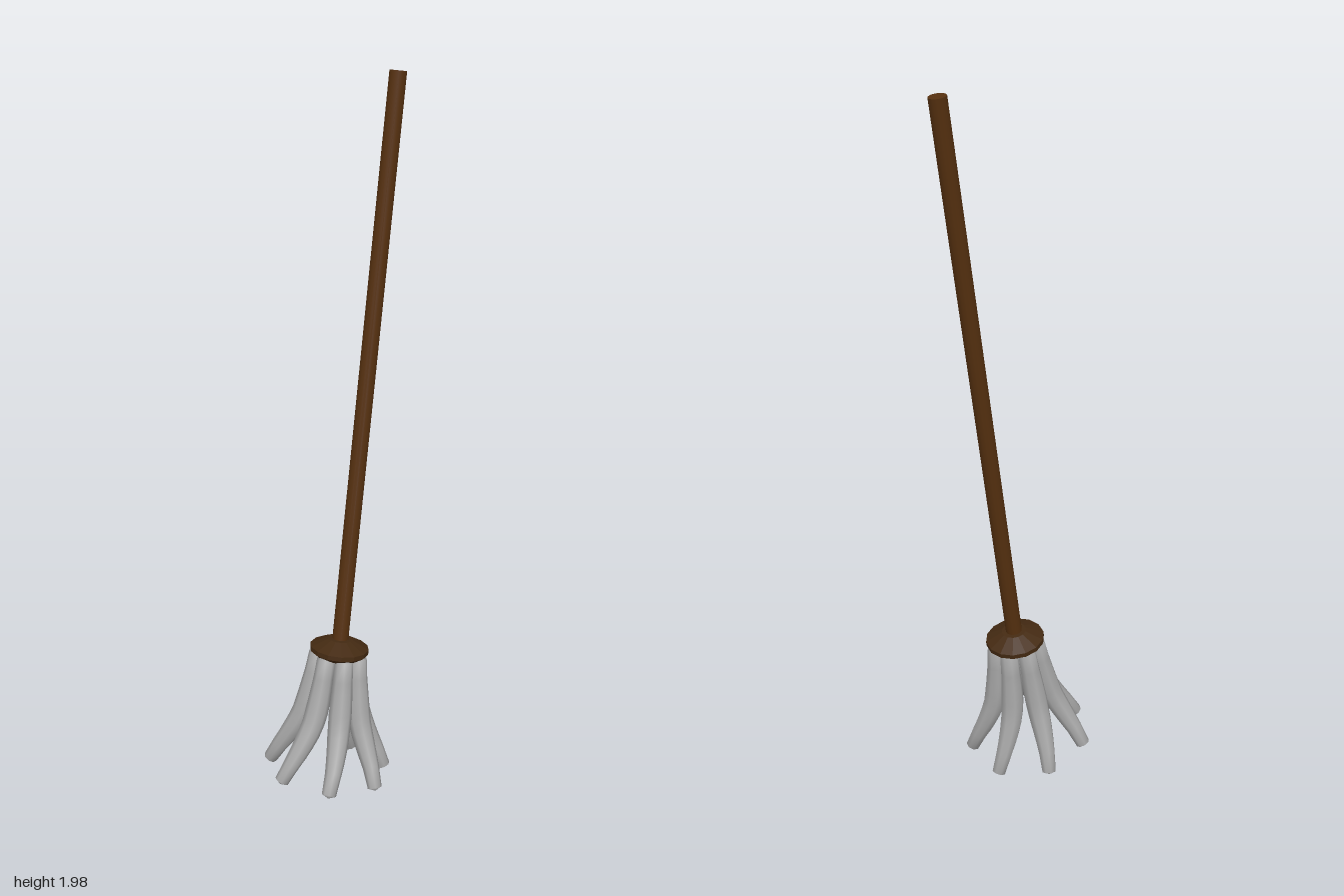
import * as THREE from 'three';
import { mergeVertices } from 'three/addons/utils/BufferGeometryUtils.js';

const handleWood = new THREE.MeshStandardMaterial({ name: 'handle brown', color: 0x55300f });
const capWood = new THREE.MeshStandardMaterial({ name: 'cap dark brown', color: 0x442a12 });
const yarn = new THREE.MeshStandardMaterial({ name: 'yarn grey', color: 0xa8a8a8 });
capWood.flatShading = true;

// One thick yarn strand: [outward, height, radius, swirl in degrees] from root to tip
const STRAND = [
  [0.058, -0.005, 0.024, -11],
  [0.068, -0.1, 0.029, -11],
  [0.086, -0.2, 0.033, -9],
  [0.117, -0.27, 0.031, -5],
  [0.150, -0.33, 0.025, -1],
  [0.174, -0.38, 0.017, 2],
];

function strandGeometry() {
  const points = STRAND.map(([out, y, , swirl]) => {
    const a = THREE.MathUtils.degToRad(swirl);
    return new THREE.Vector3(out * Math.cos(a), y, out * Math.sin(a));
  });
  const curve = new THREE.CatmullRomCurve3(points);
  const rings = 12, sides = 8;
  const geo = new THREE.TubeGeometry(curve, rings, 1, sides);
  const pos = geo.attributes.position;
  const v = new THREE.Vector3();
  // Swell the middle, taper the tip and close both ends
  for (let i = 0; i <= rings; i++) {
    const centre = curve.getPointAt(i / rings);
    const s = (i / rings) * (STRAND.length - 1);
    const k = Math.min(Math.floor(s), STRAND.length - 2);
    const r = i === 0 || i === rings ? 0.001
      : THREE.MathUtils.lerp(STRAND[k][2], STRAND[k + 1][2], s - k);
    for (let j = 0; j <= sides; j++) {
      const n = i * (sides + 1) + j;
      v.fromBufferAttribute(pos, n).sub(curve.getPointAt(i / rings)).multiplyScalar(r).add(centre);
      // Pull the ring next to each end outward so the ends are blunt
      if (i === 1) v.lerp(v.clone().add(curve.getPointAt(0)).sub(centre), 0.7);
      if (i === rings - 1) v.lerp(v.clone().add(curve.getPointAt(1)).sub(centre), 0.75);
      pos.setXYZ(n, v.x, v.y, v.z);
    }
  }
  geo.deleteAttribute('normal');
  geo.deleteAttribute('uv');
  const merged = mergeVertices(geo, 1e-5);
  merged.computeVertexNormals();
  return merged;
}

export function createModel() {
  const model = new THREE.Group();
  model.name = 'mop';

  // Everything leans together about the cap
  const leaning = new THREE.Group();
  leaning.name = 'leaningMop';
  leaning.position.set(-0.022, 0.418, -0.012);
  leaning.rotation.z = -THREE.MathUtils.degToRad(9.6);
  model.add(leaning);

  // Long straight handle
  const length = 1.58;
  const handle = new THREE.Mesh(new THREE.CylinderGeometry(0.023, 0.023, length, 14), handleWood);
  handle.name = 'handle';
  handle.position.y = 0.02 + length / 2;
  leaning.add(handle);

  // Shallow domed cap holding the yarn
  const profile = [[0, -0.02], [0.068, -0.018], [0.084, -0.005], [0.084, 0.008], [0.035, 0.032], [0, 0.034]]
    .map(([r, y]) => new THREE.Vector2(r, y));
  const cap = new THREE.Mesh(new THREE.LatheGeometry(profile, 14), capWood);
  cap.name = 'cap';
  leaning.add(cap);

  // Seven yarn strands splayed evenly around the cap
  const geo = strandGeometry();
  const count = 7;
  for (let i = 0; i < count; i++) {
    const strand = new THREE.Mesh(geo, yarn);
    strand.name = 'strand' + (i + 1);
    strand.rotation.y = -(Math.PI / 2 + (i * Math.PI * 2) / count);
    leaning.add(strand);
  }
  return model;
}
